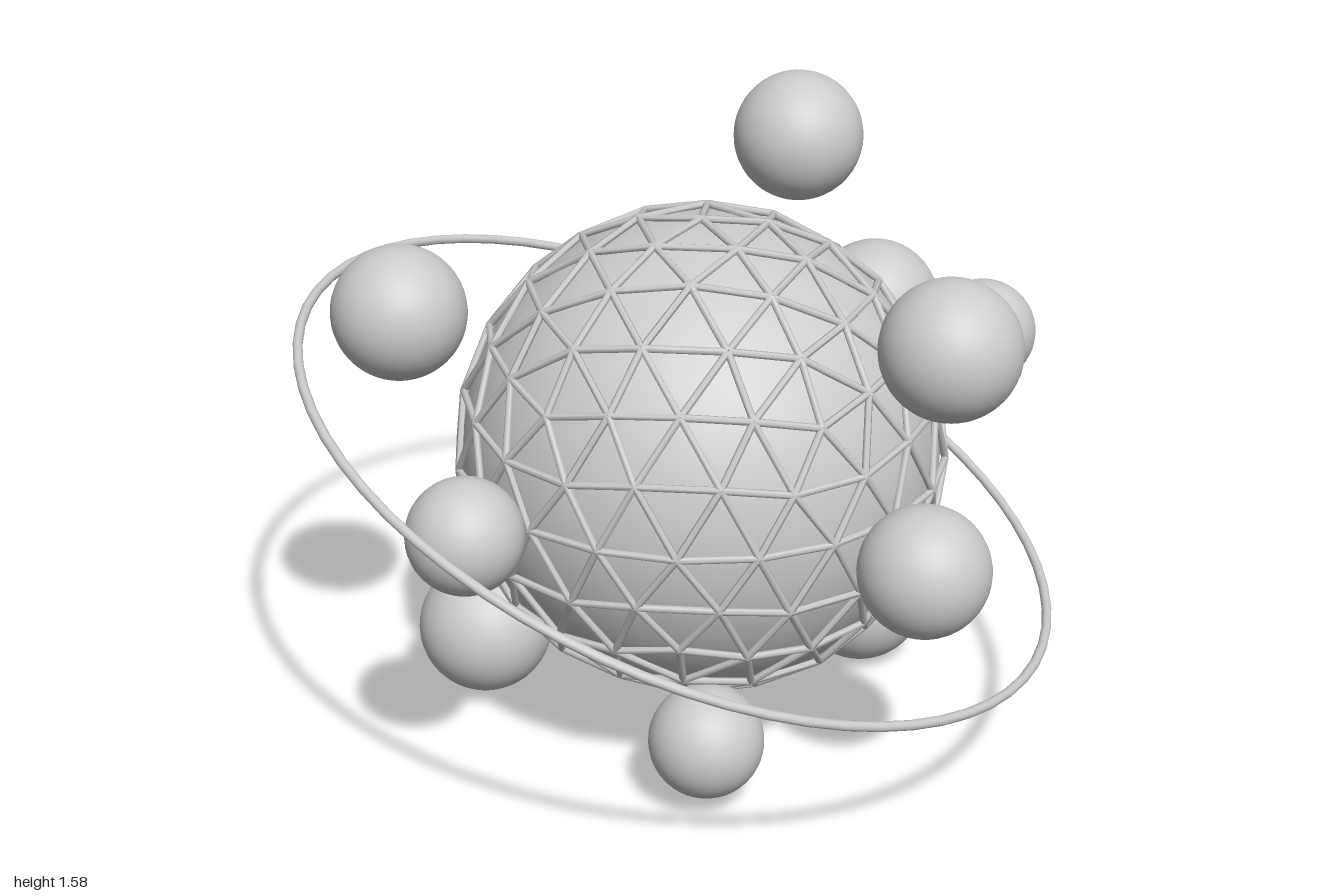
import * as THREE from 'three';
import { mergeGeometries } from 'three/addons/utils/BufferGeometryUtils.js';

const CENTRE = new THREE.Vector3(0.045, 0.75, 0);
const UP = new THREE.Vector3(0, 1, 0);
const material = new THREE.MeshStandardMaterial({ color: 0xcccccc });

function addMesh(group, name, geometry, position) {
  const mesh = new THREE.Mesh(geometry, material);
  mesh.name = name;
  mesh.position.copy(position);
  group.add(mesh);
  return mesh;
}

// Icosahedron with vertices at both poles, as 20 triangles of unit vectors
function icosahedronFaces() {
  const h = Math.sqrt(1 / 5), r = 2 * h;
  const ring = (y, turn) => Array.from({ length: 5 }, (_, i) => {
    const a = (i + turn) * Math.PI * 2 / 5;
    return new THREE.Vector3(r * Math.cos(a), y, r * Math.sin(a));
  });
  const top = ring(h, 0), low = ring(-h, 0.5);
  const north = UP.clone(), south = UP.clone().negate();
  const faces = [];
  for (let i = 0; i < 5; i++) {
    const j = (i + 1) % 5;
    faces.push([north, top[i], top[j]], [top[i], low[i], top[j]],
      [low[i], low[j], top[j]], [south, low[i], low[j]]);
  }
  return faces;
}

// Split every triangle in four and push the midpoints out to the sphere
function subdivide(faces) {
  const mid = (p, q) => p.clone().add(q).normalize();
  return faces.flatMap(([a, b, c]) => {
    const ab = mid(a, b), bc = mid(b, c), ca = mid(c, a);
    return [[a, ab, ca], [ab, b, bc], [ca, bc, c], [ab, bc, ca]];
  });
}

// Thin struts along every edge of the geodesic triangles
function latticeGeometry(radius, strut) {
  const key = (v) => v.toArray().map((n) => Math.round(n * 1000) + 0).join();
  const seen = new Set(), struts = [];
  for (const face of subdivide(subdivide(icosahedronFaces()))) {
    face.forEach((p, i) => {
      const q = face[(i + 1) % 3];
      const id = [key(p), key(q)].sort().join('|');
      if (seen.has(id)) return;
      seen.add(id);
      const a = p.clone().multiplyScalar(radius), b = q.clone().multiplyScalar(radius);
      const dir = b.clone().sub(a);
      const bar = new THREE.CylinderGeometry(strut, strut, dir.length(), 6);
      bar.applyQuaternion(new THREE.Quaternion().setFromUnitVectors(UP, dir.clone().normalize()));
      const m = a.add(b).multiplyScalar(0.5);
      struts.push(bar.translate(m.x, m.y, m.z));
    });
  }
  return mergeGeometries(struts);
}

export function createModel() {
  const model = new THREE.Group();
  model.name = 'latticeSphereWithOrbs';

  // Core ball and the cage around it
  addMesh(model, 'core', new THREE.SphereGeometry(0.587, 64, 40), CENTRE);
  addMesh(model, 'lattice', latticeGeometry(0.6, 0.009), CENTRE);

  // Tilted orbit ring
  const torus = new THREE.TorusGeometry(0.99, 0.012, 10, 64).rotateX(Math.PI / 2);
  const ring = addMesh(model, 'orbitRing', torus, new THREE.Vector3(0, 0.72, 0));
  ring.quaternion.setFromUnitVectors(UP, new THREE.Vector3(0.358, 0.922, 0.148).normalize());

  // Surrounding orbs: x, y, z, radius
  const orbs = new THREE.Group();
  orbs.name = 'orbs';
  [
    [0.37, 1.42, -0.34, 0.162],
    [-0.67, 1.13, -0.107, 0.164],
    [0.527, 1.158, 0.455, 0.168],
    [0.716, 1.052, 0.127, 0.127],
    [0.64, 0.868, -0.531, 0.17],
    [0.436, 0.676, 0.608, 0.157],
    [-0.597, 0.778, 0.4, 0.138],
    [-0.474, 0.195, -0.215, 0.171],
    [0.524, 0.175, -0.198, 0.172],
    [-0.038, 0.18, 0.434, 0.14],
    [0.042, 0.838, -0.8, 0.143],
  ].forEach(([x, y, z, r], i) => {
    addMesh(orbs, `orb${i + 1}`, new THREE.SphereGeometry(r, 40, 24), new THREE.Vector3(x, y, z));
  });
  model.add(orbs);

  return model;
}
